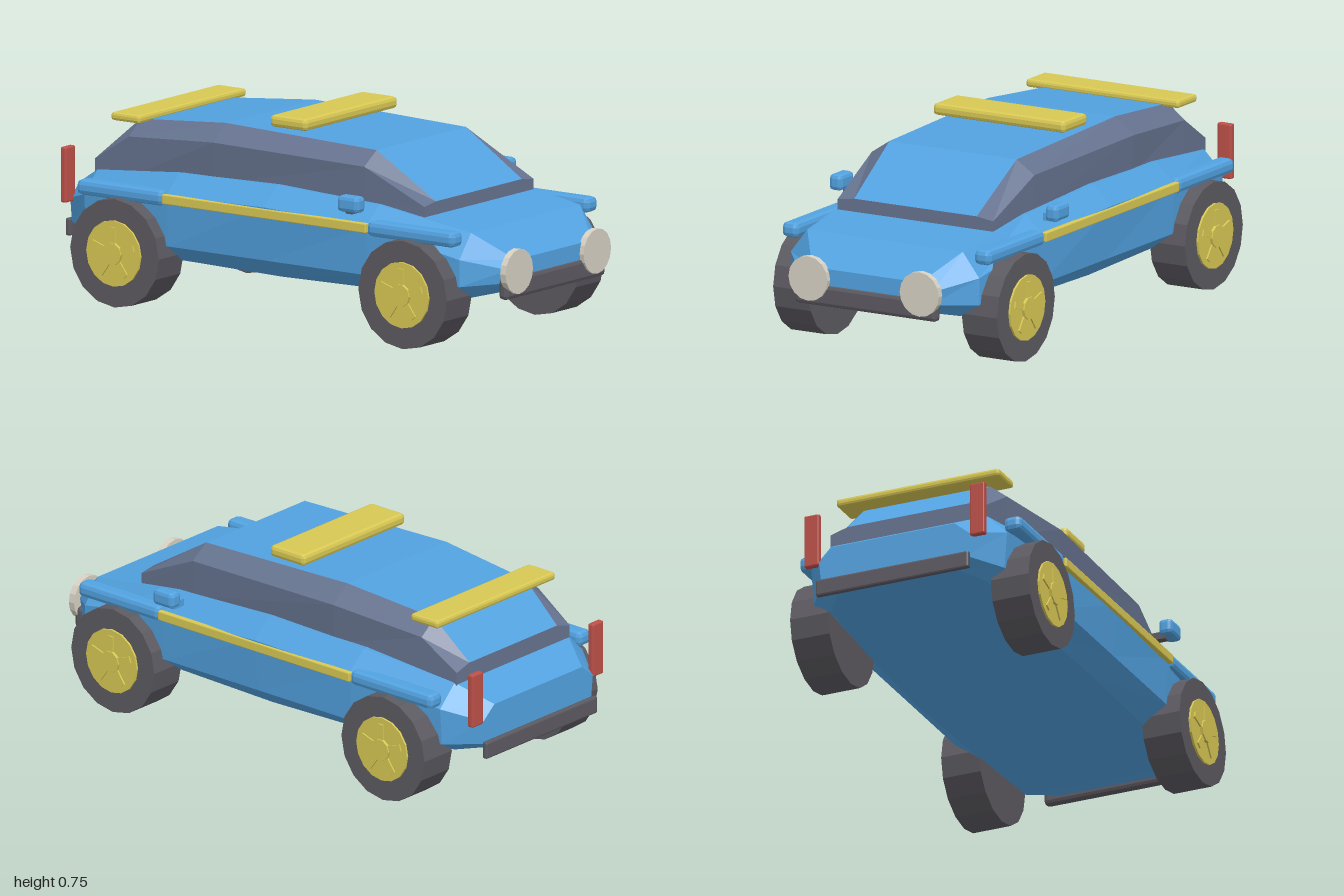
import * as THREE from 'three';
import { RoundedBoxGeometry } from 'three/addons/geometries/RoundedBoxGeometry.js';

function material(name, color) {
  const m = new THREE.MeshStandardMaterial({ color });
  m.name = name;
  return m;
}

// Flat-faced loft through mirrored sections, ordered front to back.
// Each section is { z, pts }, pts being the +x half from bottom to top.
// The top strip goes in group 1, everything else in group 0.
function loft(sections) {
  const rings = sections.map(({ z, pts }) => [
    ...pts.map(([x, y]) => [x, y, z]),
    ...[...pts].reverse().map(([x, y]) => [-x, y, z]),
  ]);
  const n = rings[0].length, topSide = n / 2 - 1;
  const sides = [], top = [];
  for (let s = 0; s < rings.length - 1; s++) {
    for (let i = 0; i < n; i++) {
      const j = (i + 1) % n;
      const a = rings[s][i], b = rings[s][j], c = rings[s + 1][j], d = rings[s + 1][i];
      (i === topSide ? top : sides).push(...a, ...d, ...c, ...a, ...c, ...b);
    }
  }
  const first = rings[0], last = rings[rings.length - 1];
  for (let i = 1; i < n - 1; i++) {
    sides.push(...first[0], ...first[i], ...first[i + 1]);
    sides.push(...last[0], ...last[i + 1], ...last[i]);
  }
  const g = new THREE.BufferGeometry();
  g.setAttribute('position', new THREE.Float32BufferAttribute([...sides, ...top], 3));
  g.addGroup(0, sides.length / 3, 0);
  g.addGroup(sides.length / 3, top.length / 3, 1);
  g.computeVertexNormals();
  return g;
}

export function createModel() {
  const model = new THREE.Group();
  model.name = 'car';
  const blue = material('bodyBlue', 0x52a2e0);
  const slate = material('windowSlate', 0x66738f);
  const yellow = material('trimYellow', 0xd8c854);
  const dark = material('rubberGrey', 0x5c5a61);
  const red = material('lampRed', 0xbd5048);
  const cream = material('lampCream', 0xd6d0c2);

  const add = (parent, name, geometry, mat, x = 0, y = 0, z = 0) => {
    const mesh = new THREE.Mesh(geometry, mat);
    mesh.name = name;
    mesh.position.set(x, y, z);
    parent.add(mesh);
    return mesh;
  };
  // Box with chamfered edges
  const bevelBox = (w, h, d, r) => {
    const g = new RoundedBoxGeometry(w, h, d, 1, r);
    g.computeVertexNormals();
    return g;
  };
  // Flat-faced cylinder lying along x or z
  const disc = (r, depth, axis, sides = 16) => {
    const c = new THREE.CylinderGeometry(r, r, depth, sides);
    if (axis === 'x') c.rotateZ(-Math.PI / 2);
    else c.rotateX(Math.PI / 2);
    const g = c.toNonIndexed();
    g.computeVertexNormals();
    return g;
  };

  // Lower body: z, bottom (w, y), sill (w, y), waist (w, y), deck (w, y)
  const body = [
    [0.98, 0.2, 0.22, 0.27, 0.25, 0.28, 0.3, 0.23, 0.33],
    [0.85, 0.32, 0.19, 0.4, 0.24, 0.4, 0.34, 0.33, 0.43],
    [0.45, 0.33, 0.175, 0.42, 0.24, 0.43, 0.42, 0.35, 0.49],
    [0, 0.34, 0.17, 0.42, 0.24, 0.44, 0.44, 0.36, 0.51],
    [-0.45, 0.33, 0.175, 0.42, 0.24, 0.43, 0.43, 0.35, 0.5],
    [-0.85, 0.31, 0.2, 0.38, 0.24, 0.39, 0.38, 0.31, 0.46],
    [-0.98, 0.22, 0.22, 0.29, 0.25, 0.3, 0.34, 0.24, 0.39],
  ].map(([z, a, b, c, d, e, f, g, h]) => ({ z, pts: [[a, b], [c, d], [e, f], [g, h]] }));
  add(model, 'body', loft(body), [blue, blue]);

  // Cabin: slate side windows with a blue roof strip
  const cabin = [
    [0.64, 0.33, 0.46, 0.33, 0.5, 0.26, 0.51],
    [0.38, 0.34, 0.48, 0.345, 0.62, 0.27, 0.67],
    [-0.3, 0.34, 0.48, 0.35, 0.63, 0.27, 0.69],
    [-0.7, 0.32, 0.45, 0.32, 0.6, 0.25, 0.655],
    [-0.86, 0.31, 0.44, 0.31, 0.5, 0.24, 0.52],
  ].map(([z, a, b, c, d, e, f]) => ({ z, pts: [[a, b], [c, d], [e, f]] }));
  add(model, 'cabin', loft(cabin), [slate, blue]);

  // Roof bar, rear wing and bumpers
  add(model, 'roofBar', bevelBox(0.56, 0.044, 0.165, 0.014), yellow, 0, 0.723, -0.015);
  add(model, 'rearWing', bevelBox(0.65, 0.03, 0.13, 0.01), yellow, 0, 0.667, -0.715);
  add(model, 'frontBumper', bevelBox(0.6, 0.08, 0.04, 0.014), dark, 0, 0.23, 0.97);
  add(model, 'rearBumper', bevelBox(0.61, 0.065, 0.022, 0.007), dark, 0, 0.23, -0.989);

  for (const side of [-1, 1]) {
    const label = side > 0 ? 'left' : 'right';
    add(model, label + 'Headlight', disc(0.083, 0.025, 'z'), cream, side * 0.236, 0.29, 0.986);
    add(model, label + 'TailLight', bevelBox(0.06, 0.205, 0.025, 0.006), red, side * 0.33, 0.433, -0.968);
    add(model, label + 'SideStrip', bevelBox(0.022, 0.036, 0.92, 0.004), yellow, side * 0.435, 0.417, 0);
    add(model, label + 'Mirror', bevelBox(0.054, 0.06, 0.095, 0.015), blue, side * 0.458, 0.505, 0.405);
    add(model, label + 'MirrorArm', new THREE.BoxGeometry(0.055, 0.028, 0.03),
      side > 0 ? blue : dark, side * 0.424, 0.478, 0.39);

    for (const end of [1, -1]) {
      const prefix = (end > 0 ? 'front' : 'rear') + (side > 0 ? 'Left' : 'Right');
      add(model, prefix + 'Fender', bevelBox(0.068, 0.056, 0.39, 0.018), blue, side * 0.408, 0.416, end * 0.655);

      // Wheel, built facing +x and turned for the other side
      const wheel = new THREE.Group();
      wheel.name = prefix + 'Wheel';
      wheel.position.set(side * 0.4, 0.2, end * 0.65);
      if (side < 0) wheel.rotation.y = Math.PI;
      model.add(wheel);
      add(wheel, 'tyre', disc(0.2, 0.15, 'x'), dark);
      add(wheel, 'rim', disc(0.122, 0.02, 'x'), yellow, 0.073);
      add(wheel, 'hubCap', disc(0.042, 0.02, 'x', 10), yellow, 0.084);
      for (let i = 0; i < 5; i++) {
        const spoke = new THREE.BoxGeometry(0.014, 0.07, 0.024);
        spoke.translate(0, 0.063, 0);
        spoke.rotateX((i / 5) * Math.PI * 2);
        add(wheel, 'spoke', spoke, yellow, 0.082);
      }
    }
  }
  return model;
}
